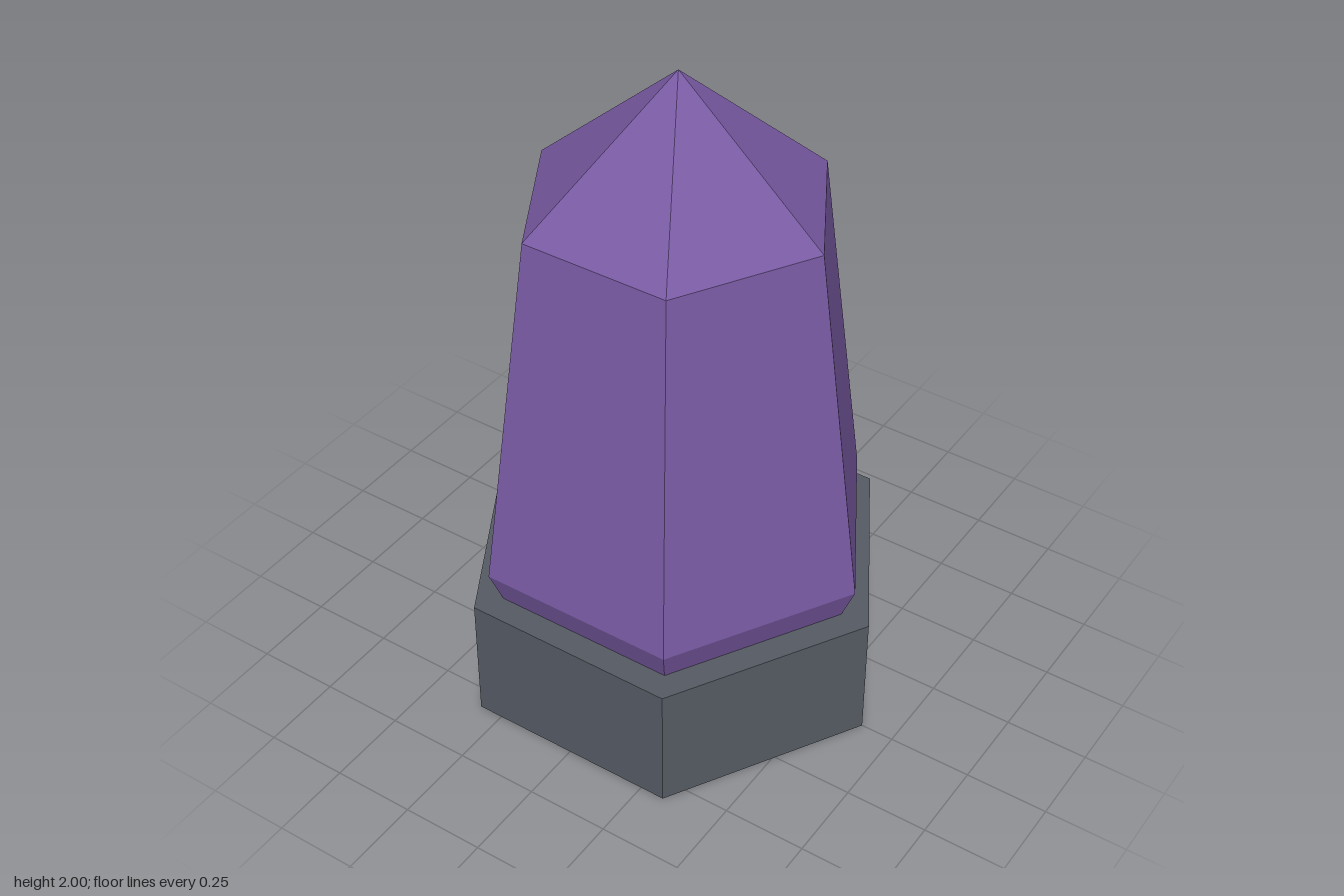
import * as THREE from 'three';

const crystalPurple = new THREE.MeshStandardMaterial({ color: 0x7a5ba4, flatShading: true });
crystalPurple.name = 'crystalPurple';
const stoneGrey = new THREE.MeshStandardMaterial({ color: 0x565b64, flatShading: true });
stoneGrey.name = 'stoneGrey';

// Six-sided solid from a [radius, height] profile, with corners on the x axis
function hexPart(name, profile, material) {
  const points = profile.map(([r, y]) => new THREE.Vector2(r, y));
  const geometry = new THREE.LatheGeometry(points, 6, Math.PI / 2).toNonIndexed();
  geometry.computeVertexNormals();
  const mesh = new THREE.Mesh(geometry, material);
  mesh.name = name;
  return mesh;
}

export function createModel() {
  const model = new THREE.Group();
  model.name = 'crystalOnBase';

  // Crystal: the narrow root runs through the base to the ground
  model.add(hexPart('crystal', [[0, 0], [0.4, 0], [0.6, 0.5], [0.45, 1.6], [0, 2]], crystalPurple));

  // Base: hexagonal collar around the root
  model.add(hexPart('base', [[0.4, 0], [0.65, 0], [0.65, 0.4], [0.56, 0.4]], stoneGrey));

  return model;
}
